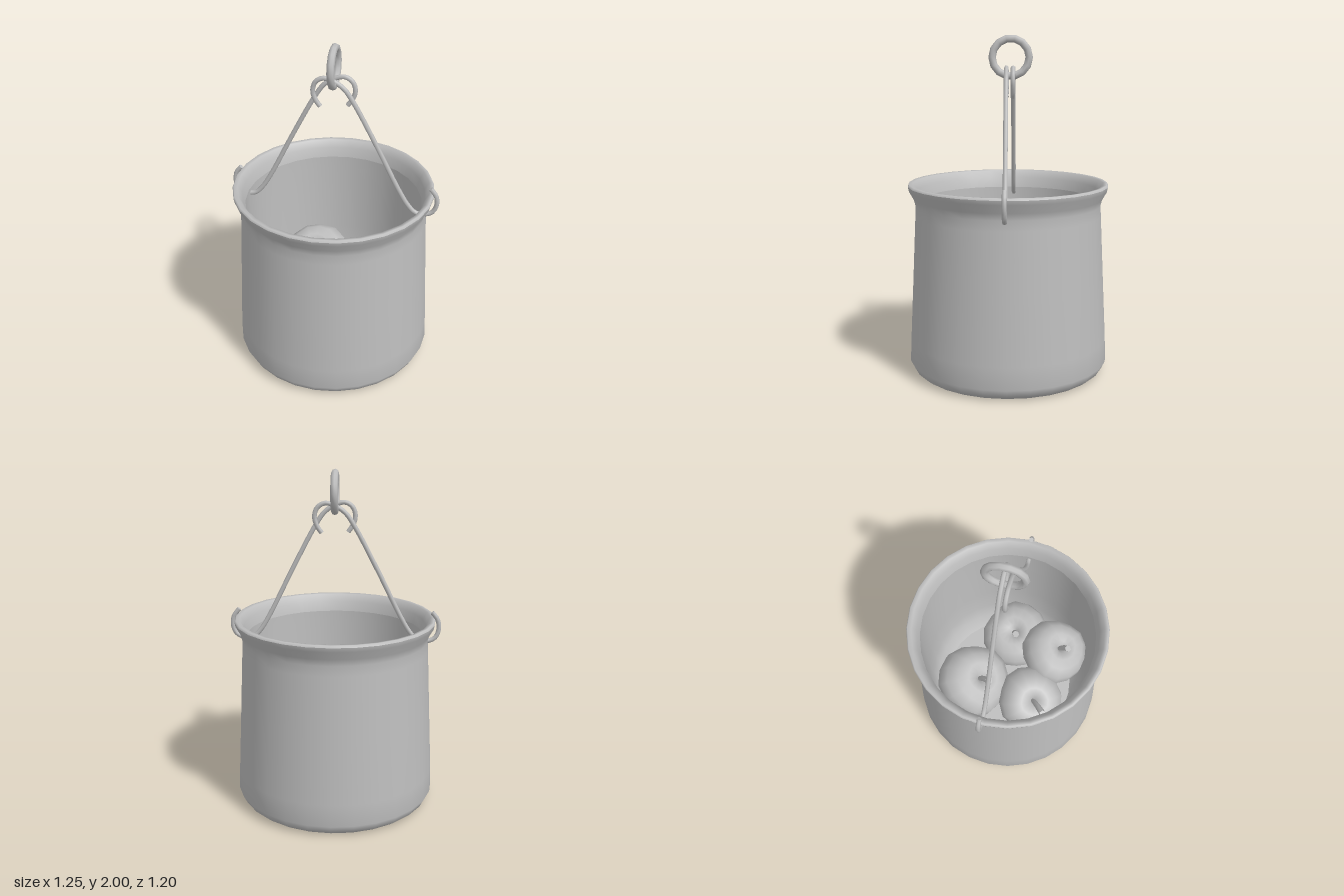
import * as THREE from 'three';

export function createModel() {
  const model = new THREE.Group();
  const grey = new THREE.MeshStandardMaterial({ color: 0xbebebe });
  grey.name = 'grey metal';

  const add = (name, geometry, parent = model) => {
    const mesh = new THREE.Mesh(geometry, grey);
    mesh.name = name;
    parent.add(mesh);
    return mesh;
  };
  const lathe = (points, sides) =>
    new THREE.LatheGeometry(points.map(([r, y]) => new THREE.Vector2(r, y)), sides);
  const v = (p) => new THREE.Vector3(...p);

  // Bucket: base, wall with flared lip, inner wall and floor
  add('bucketBase', lathe([[0, 0], [0.55, 0.005]], 28));
  add('bucketWall', lathe([
    [0.55, 0.005], [0.575, 0.025], [0.598, 0.07], [0.593, 0.2], [0.575, 0.55], [0.555, 0.95],
    [0.552, 1.01], [0.562, 1.05], [0.59, 1.1], [0.595, 1.125],
  ], 28));
  add('bucketRim', lathe([[0.595, 1.125], [0.588, 1.138], [0.565, 1.135], [0.54, 1.09], [0.525, 1.03]], 28));
  add('bucketInside', lathe([
    [0.525, 1.03], [0.524, 0.95], [0.515, 0.5], [0.505, 0.3], [0.48, 0.19], [0.43, 0.12],
  ], 28));
  add('bucketFloor', lathe([[0.43, 0.12], [0, 0.12]], 28));

  // Wire handle: two mirrored rods hooked through the wall and around the ring
  const rodPath = [
    [0.572, 1.175], [0.605, 1.13], [0.612, 1.07], [0.59, 1.02], [0.545, 1.0], [0.49, 1.005],
    [0.445, 1.05], [0.385, 1.15], [0.25, 1.42], [0.115, 1.675], [0.06, 1.755], [0, 1.795],
    [-0.055, 1.81], [-0.1, 1.785], [-0.117, 1.73], [-0.1, 1.675], [-0.075, 1.64],
  ];
  for (const [name, side, z] of [['leftRod', 1, 0.01], ['rightRod', -1, -0.03]]) {
    const points = rodPath.map(([x, y]) => v([side * x, y, z]));
    const rod = new THREE.Group();
    rod.name = name;
    model.add(rod);
    add('rodWire', new THREE.TubeGeometry(new THREE.CatmullRomCurve3(points), 70, 0.014, 7), rod);
    // Flat caps on the wire ends
    for (const [end, next] of [[points[0], points[1]], [points.at(-1), points.at(-2)]]) {
      const cap = add('wireEnd', new THREE.CircleGeometry(0.014, 7), rod);
      cap.position.copy(end);
      cap.quaternion.setFromUnitVectors(v([0, 0, 1]), end.clone().sub(next).normalize());
    }
  }

  // Hanging ring
  const ring = add('hangingRing', new THREE.TorusGeometry(0.108, 0.022, 8, 14));
  ring.rotation.y = Math.PI / 2;
  ring.position.set(0, 1.87, -0.015);

  // Apple body: dimpled profile made slightly uneven around its axis
  const appleGeometry = (seed) => {
    const g = lathe([
      [0, -0.72], [0.16, -0.8], [0.42, -0.79], [0.74, -0.52], [0.95, -0.1], [1, 0.2],
      [0.93, 0.52], [0.7, 0.79], [0.42, 0.87], [0.2, 0.8], [0.08, 0.64], [0, 0.55],
    ], 14);
    const p = g.attributes.position;
    for (let i = 0; i < p.count; i++) {
      const angle = Math.atan2(p.getZ(i), p.getX(i));
      const k = 1 + 0.03 * Math.sin(3 * angle + seed) + 0.02 * Math.sin(5 * angle + seed * 2);
      p.setXYZ(i, p.getX(i) * k, p.getY(i), p.getZ(i) * k);
    }
    return g;
  };

  // Apples: centre, radius, tilt about x and z, stem height and bend
  const apples = [
    { at: [-0.145, 0.39, -0.215], r: 0.235, tilt: [0.45, 0.05], top: 1.1, bend: 0.1 },
    { at: [0.245, 0.36, 0.005], r: 0.222, tilt: [-0.08, 0.2], top: 1.1, bend: 0.12 },
    { at: [-0.175, 0.42, 0.18], r: 0.207, tilt: [0.3, 0.38], top: 1.4, bend: 0.22 },
    { at: [0.13, 0.5, 0.265], r: 0.21, tilt: [0.35, 0], top: 1.1, bend: 0.1 },
  ];
  apples.forEach(({ at, r, tilt, top, bend }, i) => {
    const apple = new THREE.Group();
    apple.name = 'apple' + (i + 1);
    apple.position.set(...at);
    apple.rotation.set(tilt[0], 0, tilt[1]);
    apple.scale.setScalar(r);
    model.add(apple);
    add('appleBody', appleGeometry(i * 1.7), apple);
    // Stem: thin cylinder widening and bending toward the tip
    const length = top - 0.5;
    const stem = new THREE.CylinderGeometry(0.1, 0.06, length, 6, 4);
    const p = stem.attributes.position;
    for (let j = 0; j < p.count; j++) {
      const t = p.getY(j) / length + 0.5;
      p.setX(j, p.getX(j) - bend * t * t);
      p.setZ(j, p.getZ(j) + bend * t * t);
    }
    stem.computeVertexNormals();
    add('appleStem', stem, apple).position.y = 0.5 + length / 2;
  });

  return model;
}
